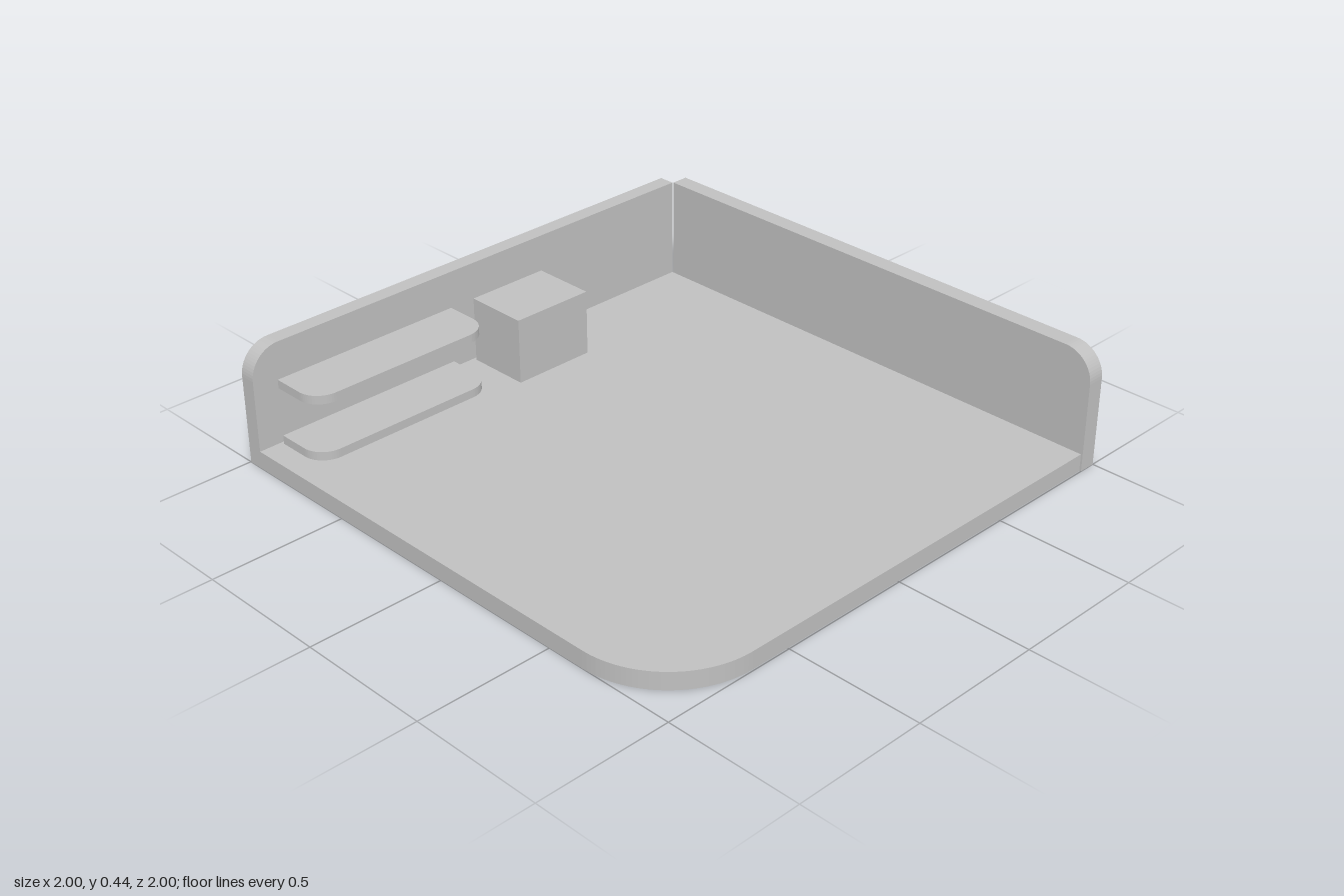
import * as THREE from 'three';

// Rectangle outline with separate radii: bottom-left, bottom-right, top-right, top-left
function cornerShape(x0, y0, x1, y1, [bl, br, tr, tl]) {
  const s = new THREE.Shape();
  s.moveTo(x0 + bl, y0);
  s.lineTo(x1 - br, y0);
  if (br) s.absarc(x1 - br, y0 + br, br, -Math.PI / 2, 0, false);
  s.lineTo(x1, y1 - tr);
  if (tr) s.absarc(x1 - tr, y1 - tr, tr, 0, Math.PI / 2, false);
  s.lineTo(x0 + tl, y1);
  if (tl) s.absarc(x0 + tl, y1 - tl, tl, Math.PI / 2, Math.PI, false);
  s.lineTo(x0, y0 + bl);
  if (bl) s.absarc(x0 + bl, y0 + bl, bl, Math.PI, Math.PI * 1.5, false);
  return s;
}

const extrude = (shape, depth, curveSegments = 8) =>
  new THREE.ExtrudeGeometry(shape, { depth, bevelEnabled: false, curveSegments });

export function createModel() {
  const model = new THREE.Group();
  model.name = 'tray';
  const grey = new THREE.MeshStandardMaterial({ color: 0xc0c0c0 });
  grey.name = 'plain grey';

  const add = (name, geometry) => {
    const mesh = new THREE.Mesh(geometry, grey);
    mesh.name = name;
    model.add(mesh);
    return mesh;
  };

  // Horizontal plate: outline drawn in x and -z, thickness going up from y
  const addPlate = (name, x0, x1, zBack, zFront, y, height, radii, segments) => {
    const shape = cornerShape(x0, -zFront, x1, -zBack, radii);
    add(name, extrude(shape, height, segments).rotateX(-Math.PI / 2).translate(0, y, 0));
  };

  // Floor with one large rounded front corner
  addPlate('floor', -1, 0.932, -0.938, 0.995, 0, 0.065, [0.35, 0, 0, 0], 16);

  // Back wall, rounded at its free top end
  add('backWall', extrude(cornerShape(-1, 0, 0.932, 0.44, [0, 0, 0, 0.11]), 0.06).translate(0, 0, -0.998));

  // Side wall, rounded at its top front end
  add('leftWall', extrude(cornerShape(-1, 0, 0.936, 0.44, [0, 0, 0, 0.11]), 0.065)
    .rotateY(Math.PI / 2).translate(0.935, 0, 0));

  // Two matching shelves with rounded front corners
  for (const [name, y] of [['lowerShelf', 0.065], ['upperShelf', 0.278]]) {
    addPlate(name, -0.912, -0.17, -0.925, -0.722, y, 0.032, [0.085, 0.085, 0, 0], 8);
  }

  // Box standing beside the shelves
  add('cabinet', new THREE.BoxGeometry(0.32, 0.245, 0.24)).position.set(0.092, 0.1875, -0.805);

  return model;
}
